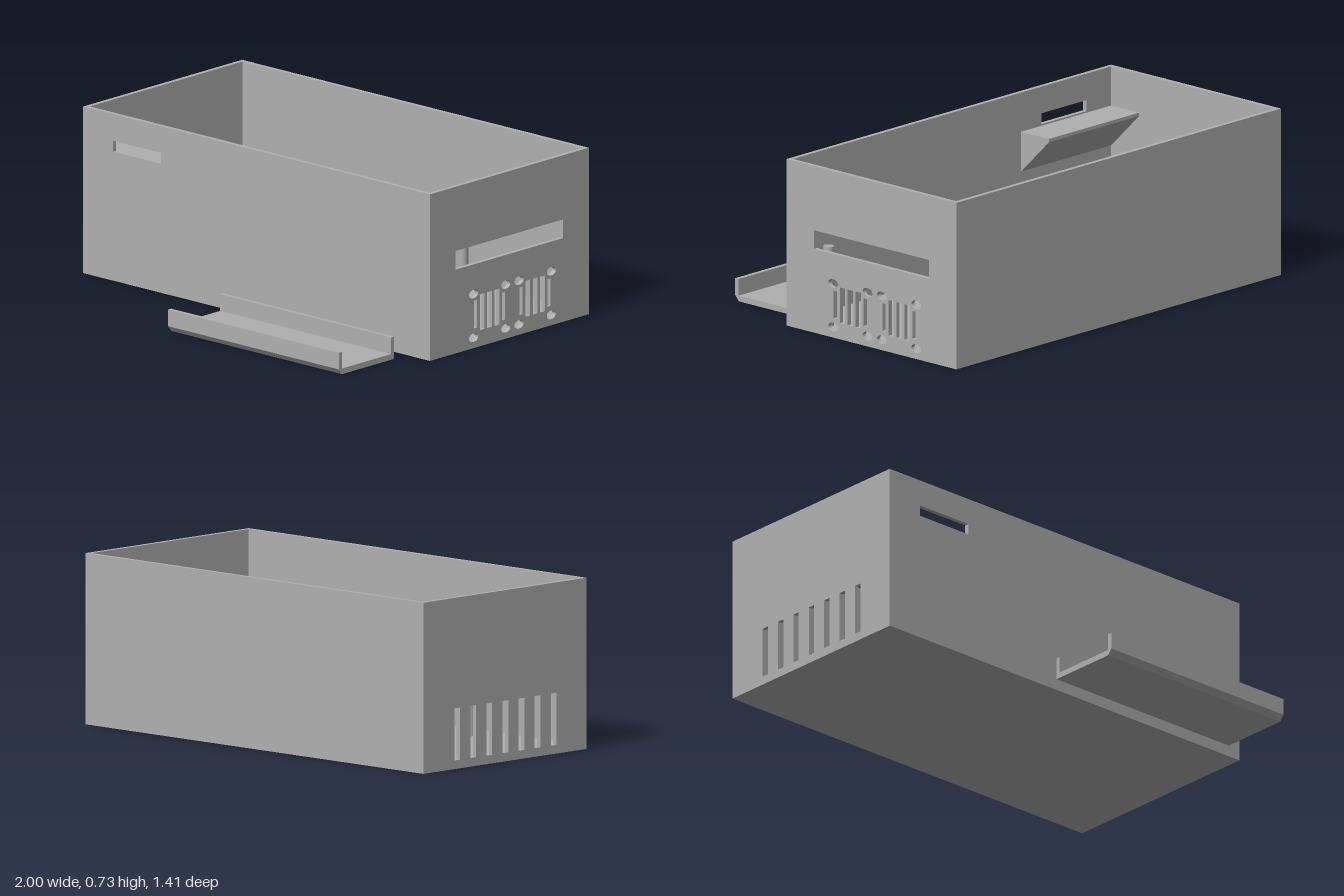
import * as THREE from 'three';

export function createModel() {
  const model = new THREE.Group();
  const grey = new THREE.MeshStandardMaterial({ color: 0xb0b0b0 });
  grey.name = 'plain grey';

  const T = 0.02, H = 0.732, Z0 = -0.705, Z1 = 0.282;

  function add(name, geometry, x = 0, y = 0, z = 0, parent = model) {
    const mesh = new THREE.Mesh(geometry, grey);
    mesh.name = name;
    mesh.position.set(x, y, z);
    parent.add(mesh);
    return mesh;
  }

  // Closed outline from corner points
  const outline = (pts, Type = THREE.Shape) => new Type(pts.map(([u, v]) => new THREE.Vector2(u, v)));
  const rect = (u0, u1, v0, v1, Type) => outline([[u0, v0], [u1, v0], [u1, v1], [u0, v1]], Type);
  const rectHole = (u0, u1, v0, v1) => rect(u0, u1, v0, v1, THREE.Path);
  const extrude = (shape, depth) => new THREE.ExtrudeGeometry(shape, { depth, bevelEnabled: false, curveSegments: 20 });
  // Profile given as (-z, y), swept along +x
  const sweepX = (shape, depth) => extrude(shape, depth).rotateY(Math.PI / 2);

  // Open box: floor and back wall
  const box = new THREE.Group();
  box.name = 'enclosure';
  model.add(box);
  const zc = (Z0 + Z1) / 2, depth = Z1 - Z0;
  add('floor', new THREE.BoxGeometry(2 - 2 * T, T, depth - 2 * T), 0, T / 2, zc, box);
  add('backWall', new THREE.BoxGeometry(2 - 2 * T, H, T), 0, H / 2, Z0 + T / 2, box);

  // Front wall with a small window
  const front = rect(-1 + T, 1 - T, 0, H);
  front.holes.push(rectHole(-0.828, -0.55, 0.567, 0.615));
  add('frontWall', extrude(front, T), 0, 0, Z1 - T, box);

  // Right-hand end (+x): long slot and two socket patterns
  const socketWall = rect(-Z1, -Z0, 0, H);
  socketWall.holes.push(rectHole(-0.123, 0.546, 0.368, 0.45));
  for (const u of [0.089, 0.372]) {
    for (const du of [-0.1, 0.1]) {
      for (const v of [0.046, 0.238]) {
        const hole = new THREE.Path();
        hole.absellipse(u + du, v, 0.028, 0.019, 0, Math.PI * 2);
        socketWall.holes.push(hole);
      }
    }
    for (const du of [-0.046, 0, 0.046]) {
      socketWall.holes.push(rectHole(u + du - 0.015, u + du + 0.015, 0.071, 0.228));
    }
    for (const du of [-0.087, 0.087]) {
      socketWall.holes.push(rectHole(u + du - 0.0095, u + du + 0.0095, 0.086, 0.207));
    }
  }
  add('socketWall', sweepX(socketWall, T), 1 - T, 0, 0, box);

  // Opposite end (-x): row of seven vents
  const ventWall = rect(-Z1, -Z0, 0, H);
  for (let i = 0; i < 7; i++) {
    const u = 0.5 - i * 0.097;
    ventWall.holes.push(rectHole(u - 0.017, u + 0.017, 0.037, 0.26));
  }
  add('ventWall', sweepX(ventWall, T), -1, 0, 0, box);

  // Wedge-shaped shelf under the front window
  const zIn = Z1 - T;
  const shelf = outline([[-zIn, 0.385], [-0.1, 0.545], [-0.1, 0.56], [-zIn, 0.56]]);
  add('shelf', sweepX(shelf, 0.555), -1 + T, 0, 0, box);

  // Mounting posts
  for (const [x, z] of [[-0.395, -0.515], [0.45, -0.515], [-0.475, 0.11], [0.922, 0.11]]) {
    add('post', new THREE.CylinderGeometry(0.023, 0.023, 0.368 - T, 24), x, (0.368 + T) / 2, z, box);
  }

  // Separate U-shaped channel with a chamfered front edge
  const channel = outline([
    [-0.685, 0], [-0.361, 0], [-0.361, 0.098], [-0.381, 0.098],
    [-0.381, 0.025], [-0.685, 0.025], [-0.685, 0.098], [-0.705, 0.098], [-0.705, 0.025],
  ]);
  add('channel', sweepX(channel, 0.985), -0.118);

  return model;
}
